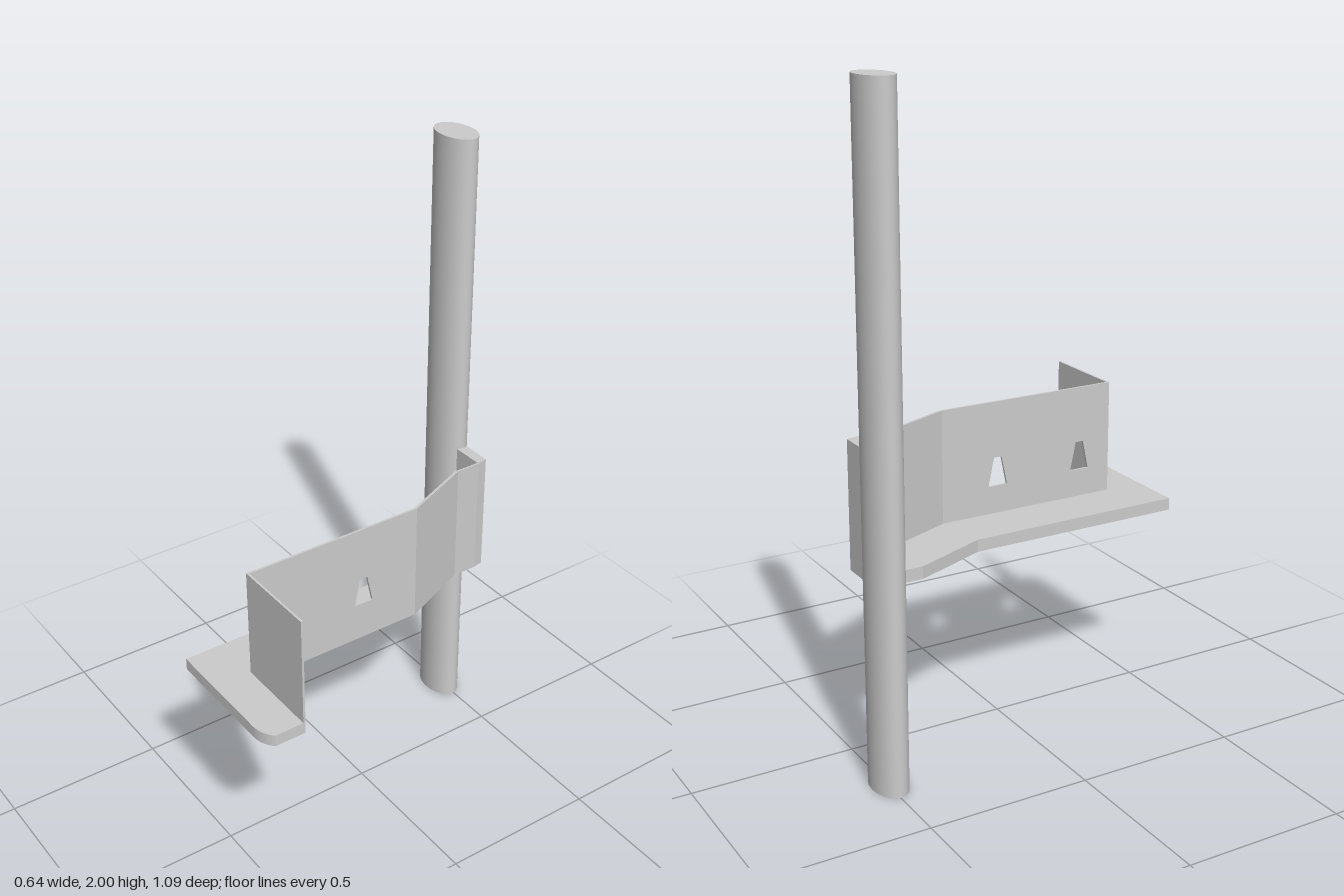
import * as THREE from 'three';

const material = new THREE.MeshStandardMaterial({ color: 0xcccccc });
const T = 0.007;            // sheet thickness
const Y0 = 0.6, Y1 = 0.99;  // bracket bottom and top

// Upright prism from a floor outline given as [x, z] points
function prism(name, outline, y0, y1) {
  const shape = new THREE.Shape(outline.map(([x, z]) => new THREE.Vector2(x, -z)));
  const geometry = new THREE.ExtrudeGeometry(shape, { depth: y1 - y0, bevelEnabled: false });
  geometry.rotateX(-Math.PI / 2).translate(0, y0, 0);
  const mesh = new THREE.Mesh(geometry, material);
  mesh.name = name;
  return mesh;
}

export function createModel() {
  const group = new THREE.Group();
  group.name = 'poleBracket';

  // Oval pole, full height
  const poleGeometry = new THREE.CylinderGeometry(1, 1, 2, 64);
  poleGeometry.scale(0.082, 1, 0.052);
  const pole = new THREE.Mesh(poleGeometry, material);
  pole.name = 'pole';
  pole.position.set(-0.238, 1, -0.497);
  group.add(pole);

  // Base plate with one rounded front corner
  const corner = new THREE.QuadraticBezierCurve(
    new THREE.Vector2(0.25, 0.545), new THREE.Vector2(0.289, 0.543), new THREE.Vector2(0.316, 0.515)
  ).getPoints(8).map((p) => [p.x, p.y]);
  group.add(prism('basePlate', [
    [-0.125, 0.545], ...corner, [0.316, 0.415], [0.044, 0.415], [0.044, -0.17],
    [-0.052, -0.4], [-0.052, -0.48], [-0.22, -0.48], [-0.22, -0.367], [-0.125, -0.137],
  ], Y0, 0.638));

  // Straight side wall with two keyhole slots (drawn in z, y)
  const side = new THREE.Shape([[-0.17, Y0], [0.422, Y0], [0.422, Y1], [-0.17, Y1]]
    .map(([z, y]) => new THREE.Vector2(z, y)));
  for (const z of [0.024, 0.315]) {
    side.holes.push(new THREE.Path([
      [z - 0.032, 0.725], [z - 0.013, 0.815], [z + 0.013, 0.815], [z + 0.032, 0.725],
    ].map(([a, b]) => new THREE.Vector2(a, b))));
  }
  const sideGeometry = new THREE.ExtrudeGeometry(side, { depth: T, bevelEnabled: false });
  sideGeometry.rotateY(-Math.PI / 2).translate(0.044, 0, 0);
  const sideWall = new THREE.Mesh(sideGeometry, material);
  sideWall.name = 'sideWall';
  group.add(sideWall);

  // Wall turned outwards at the front
  group.add(prism('frontWall', [
    [0.044, 0.422], [0.316, 0.422], [0.316, 0.415], [0.044, 0.415],
  ], Y0, Y1));

  // Wall slanting towards the pole
  group.add(prism('rearWall', [
    [0.044, -0.17], [-0.052, -0.4], [-0.052, -0.48],
    [-0.058, -0.48], [-0.058, -0.392], [0.037, -0.165],
  ], Y0, Y1));

  // Flange joining the wall to the pole
  group.add(prism('poleFlange', [
    [-0.165, -0.48], [-0.052, -0.48], [-0.06, -0.515], [-0.152, -0.515],
  ], Y0, Y1));

  return group;
}
